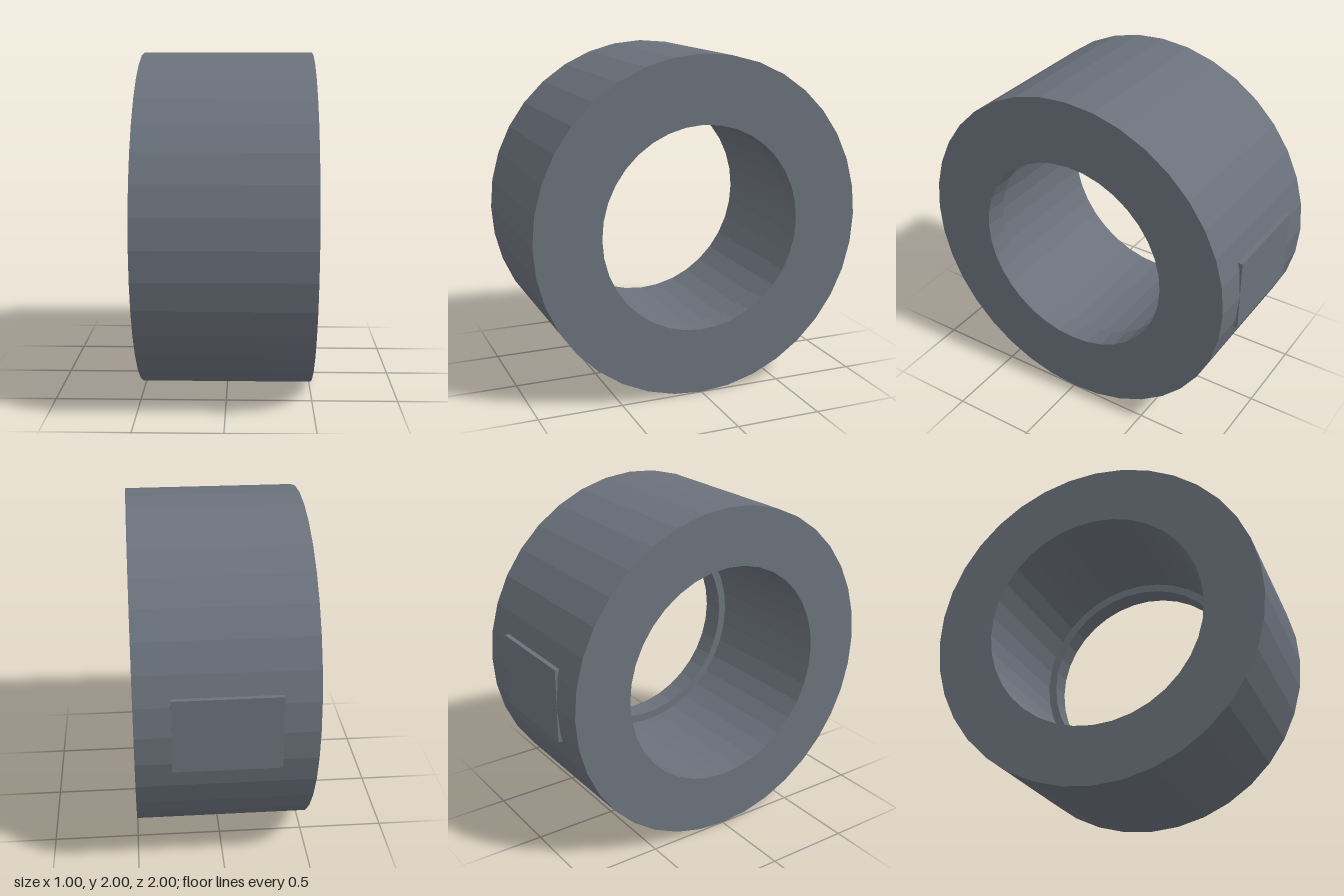
import * as THREE from 'three';

export function createModel() {
  const group = new THREE.Group();
  const material = new THREE.MeshStandardMaterial({ color: 0x6a717b, flatShading: true });

  // Ring: closed profile (radius, axial position) with a narrower lip at the +x end of the bore
  const outer = 1, bore = 0.655, lip = 0.605, half = 0.5, lipStart = 0.36;
  const profile = [
    [outer, -half], [outer, half], [lip, half], [lip, lipStart],
    [bore, lipStart], [bore, -half], [outer, -half],
  ].map(([r, a]) => new THREE.Vector2(r, a));
  const ring = new THREE.Mesh(new THREE.LatheGeometry(profile, 36), material);
  ring.name = 'ring';
  ring.rotation.z = -Math.PI / 2;
  ring.position.y = outer;
  group.add(ring);

  // Flat rectangular plate set into the back of the ring
  const thickness = 0.028;
  const plate = new THREE.Mesh(new THREE.BoxGeometry(0.6, 0.436, thickness), material);
  plate.name = 'backPlate';
  plate.position.set(0, outer, -outer + thickness / 2 - 0.0005);
  group.add(plate);

  return group;
}
